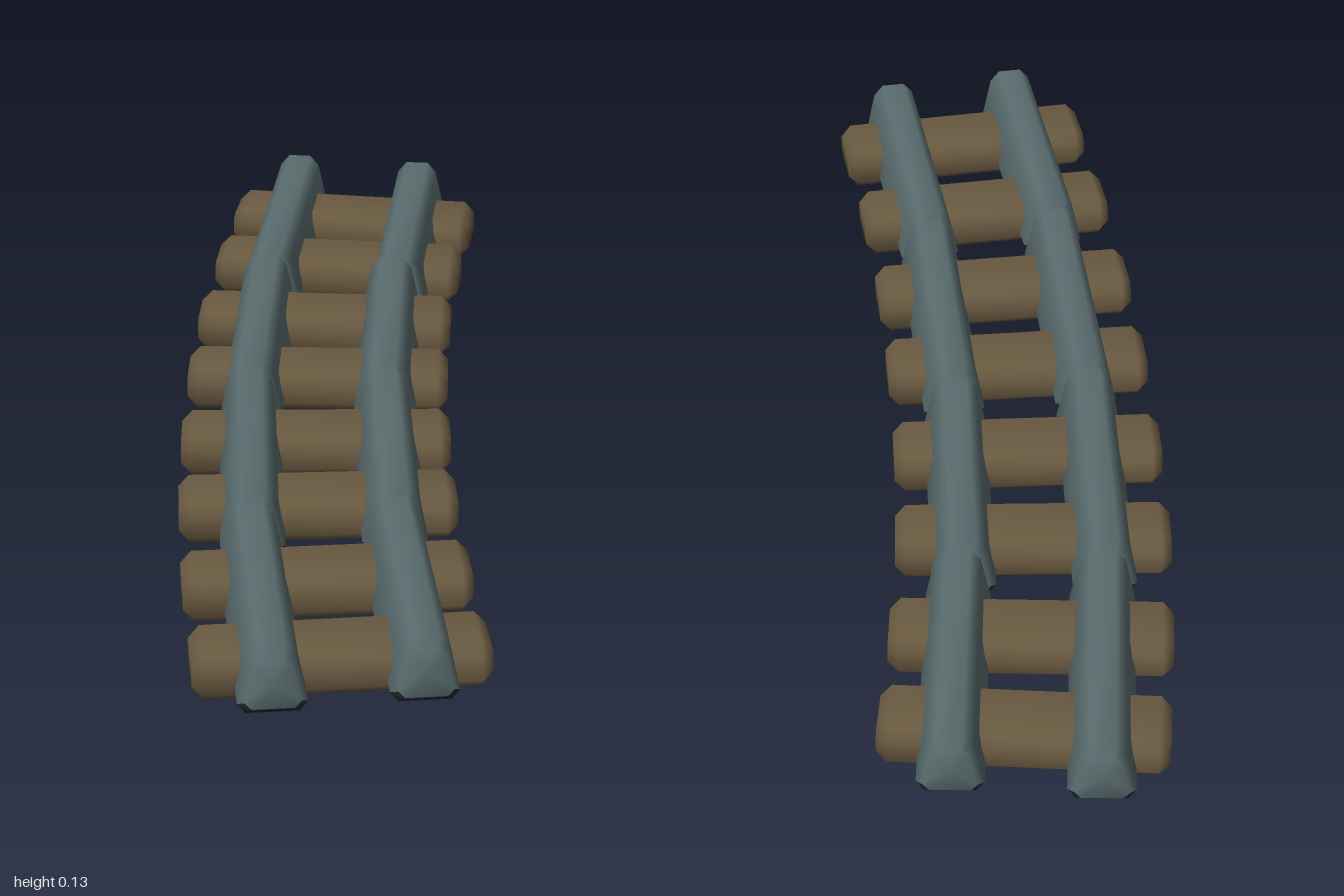
import * as THREE from 'three';

// Bevelled bar along z: the section (x, y, counter-clockwise) is shrunk by sx, sy at both ends and capped.
// Faces along the section edges listed in undersideEdges use the second material.
function bevelledBar(section, length, bevel, sx, sy, undersideEdges = []) {
  const n = section.length, h = length / 2;
  const cy = (Math.min(...section.map(p => p[1])) + Math.max(...section.map(p => p[1]))) / 2;
  const pos = [], main = [], underside = [];
  for (const [z, kx, ky] of [[h, sx, sy], [h - bevel, 1, 1], [bevel - h, 1, 1], [-h, sx, sy]])
    for (const [x, y] of section) pos.push(x * kx, cy + (y - cy) * ky, z);
  pos.push(0, cy, h, 0, cy, -h);
  for (let i = 0; i < n; i++) {
    const j = (i + 1) % n;
    const sides = undersideEdges.includes(i) ? underside : main;
    for (let r = 0; r < 3; r++) {
      const a = r * n + i, b = r * n + j;
      sides.push(a, a + n, b, b, a + n, b + n);
    }
    main.push(4 * n, i, j, 4 * n + 1, 3 * n + j, 3 * n + i);
  }
  const g = new THREE.BufferGeometry();
  g.setAttribute('position', new THREE.Float32BufferAttribute(pos, 3));
  g.setIndex([...main, ...underside]);
  g.addGroup(0, main.length, 0);
  g.addGroup(main.length, underside.length, 1);
  g.computeVertexNormals();
  return g;
}

export function createModel() {
  const group = new THREE.Group();
  const steel = new THREE.MeshStandardMaterial({ name: 'steel', color: 0x5b6d6f });
  const darkSteel = new THREE.MeshStandardMaterial({ name: 'darkSteel', color: 0x1c282a });
  const wood = new THREE.MeshStandardMaterial({ name: 'wood', color: 0x6a5a41 });

  // Rails: straight bars with a dark underside, chained along a gentle bend, front to back
  const railSection = [[-0.042, 0.01], [0.042, 0.01], [0.055, 0.027], [0.038, 0.108],
    [0.021, 0.128], [-0.021, 0.128], [-0.038, 0.108], [-0.055, 0.027]];
  const rails = {
    rightRail: [[-0.211, 0.999, -0.211, 0.5], [-0.207, 0.5, -0.175, -0.003],
      [-0.174, -0.003, -0.107, -0.505], [-0.102, -0.5, -0.001, -0.993]],
    leftRail: [[0.027, 0.987, 0.027, 0.5], [0.031, 0.505, 0.063, 0.014],
      [0.064, 0.014, 0.129, -0.467], [0.137, -0.455, 0.232, -0.933]],
  };
  for (const [name, bars] of Object.entries(rails)) {
    const rail = new THREE.Group();
    rail.name = name;
    for (const [x0, z0, x1, z1] of bars) {
      const length = Math.hypot(x1 - x0, z1 - z0);
      const bar = new THREE.Mesh(
        bevelledBar(railSection, length, 0.018, 0.8, 0.73, [7, 0, 1]), [steel, darkSteel]);
      bar.name = 'railSegment';
      bar.position.set((x0 + x1) / 2, 0, (z0 + z1) / 2);
      bar.rotation.y = Math.atan2(x0 - x1, z0 - z1);
      rail.add(bar);
    }
    group.add(rail);
  }

  // Sleepers: x, z and turn in degrees
  const sleeperSection = [[-0.05, 0], [0.05, 0], [0.068, 0.018], [0.068, 0.058],
    [0.05, 0.076], [-0.05, 0.076], [-0.068, 0.058], [-0.068, 0.018]];
  const sleeperGeometry = bevelledBar(sleeperSection, 0.472, 0.018, 0.78, 0.6).rotateY(Math.PI / 2);
  sleeperGeometry.clearGroups();
  const sleepers = [[-0.096, 0.867, -0.3], [-0.096, 0.627, 0.5], [-0.087, 0.367, 2.7], [-0.069, 0.128, 4.8],
    [-0.042, -0.126, 7], [-0.008, -0.363, 9], [0.041, -0.611, 11.5], [0.092, -0.828, 13.7]];
  for (const [x, z, turn] of sleepers) {
    const sleeper = new THREE.Mesh(sleeperGeometry, wood);
    sleeper.name = 'sleeper';
    sleeper.position.set(x, 0, z);
    sleeper.rotation.y = -THREE.MathUtils.degToRad(turn);
    group.add(sleeper);
  }
  return group;
}
